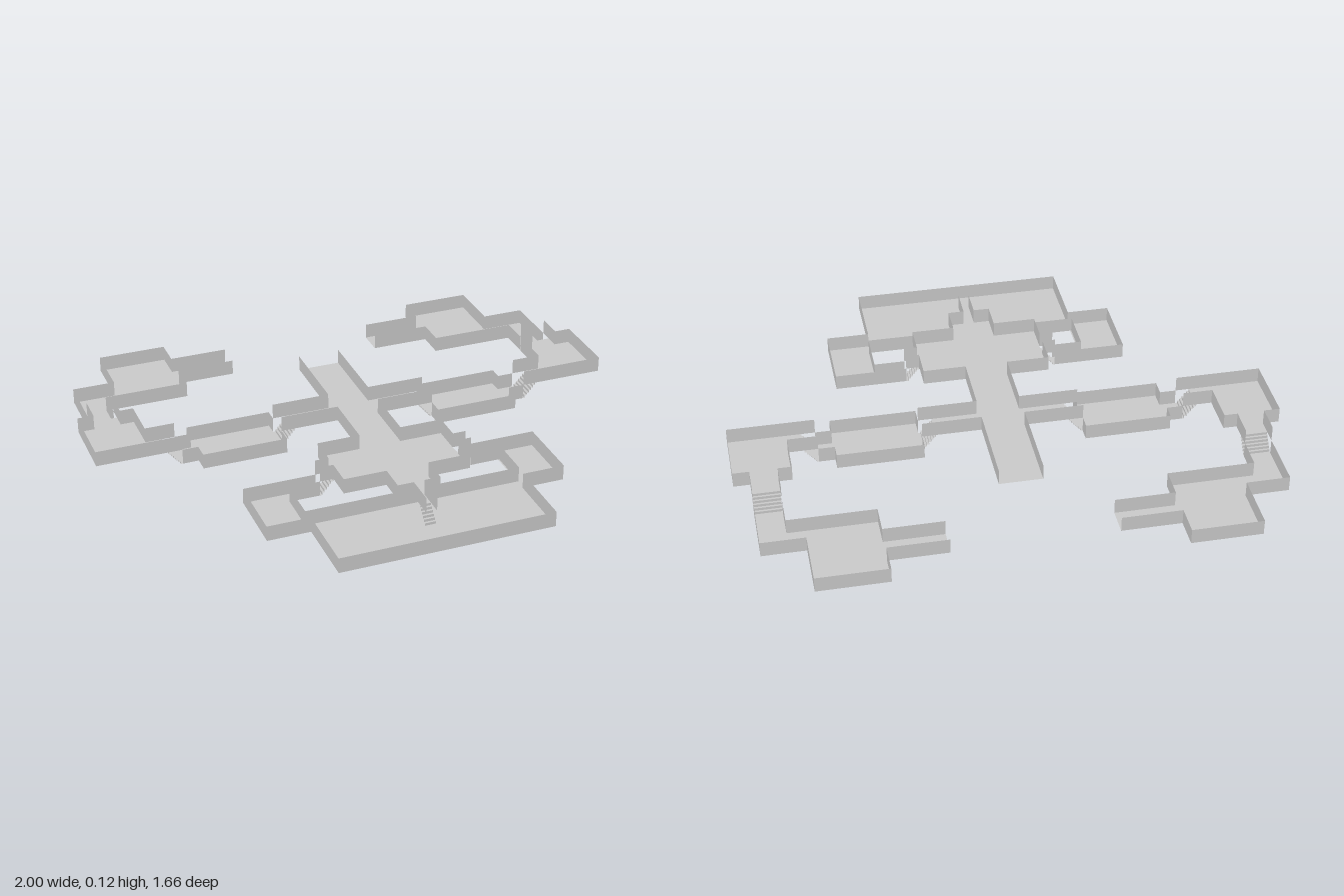
import * as THREE from 'three';
import { mergeGeometries } from 'three/addons/utils/BufferGeometryUtils.js';

const H = 0.058; // storey height, also the wall height
const STEPS = 6;
const material = new THREE.MeshStandardMaterial({ color: 0xcccccc, side: THREE.DoubleSide, flatShading: true });

// flat four-cornered face
function quad(a, b, c, d) {
  const g = new THREE.BufferGeometry();
  g.setAttribute('position', new THREE.Float32BufferAttribute([a, b, c, a, c, d].flat(), 3));
  g.computeVertexNormals();
  return g;
}

// upright walls following an open path of [x, z] points
function walls(path, y, s) {
  return path.slice(1).map(([x, z], i) => {
    const [px, pz] = path[i];
    return quad([s * px, y, pz], [s * x, y, z], [s * x, y + H, z], [s * px, y + H, pz]);
  });
}

// rectangular floor
function floor([x0, x1, z0, z1], y, s) {
  return quad([s * x0, y, z0], [s * x0, y, z1], [s * x1, y, z1], [s * x1, y, z0]);
}

// open zigzag flight from the upper edge (a-b) down in direction [dx, dz]
function stairs([ax, az, bx, bz, dx, dz], s) {
  const parts = [];
  const at = (x, z, t, y) => [s * (x + dx * t), y, z + dz * t];
  for (let i = 0; i < STEPS; i++) {
    const t0 = i / STEPS, t1 = (i + 1) / STEPS;
    const y0 = H * (1 - t0), y1 = H * (1 - t1);
    parts.push(quad(at(ax, az, t0, y0), at(bx, bz, t0, y0), at(bx, bz, t0, y1), at(ax, az, t0, y1)));
    parts.push(quad(at(ax, az, t0, y1), at(bx, bz, t0, y1), at(bx, bz, t1, y1), at(ax, az, t1, y1)));
  }
  return parts;
}

// one half (+x) of the plan; the other half is mirrored
const plan = {
  centralHall: {
    y: H,
    floors: [[0, 0.08, -0.46, 0.19], [0.08, 0.25, -0.135, -0.035], [0, 0.24, 0.19, 0.455],
      [0, 0.08, 0.455, 0.56], [0, 0.02, 0.56, 0.62]],
    walls: [
      [[0.08, -0.46], [0.08, -0.135], [0.3, -0.135]],
      [[0.3, -0.035], [0.08, -0.035], [0.08, 0.19], [0.24, 0.19], [0.24, 0.3], [0.29, 0.3]],
      [[0.29, 0.35], [0.24, 0.35], [0.24, 0.455], [0.08, 0.455], [0.08, 0.56], [0.02, 0.56], [0.02, 0.675]],
    ],
  },
  frontRoom: {
    y: 0,
    floors: [[0.29, 0.4, 0.3, 0.35], [0.4, 0.56, 0.3, 0.56], [0, 0.4, 0.515, 0.83]],
    walls: [
      [[0.29, 0.3], [0.56, 0.3], [0.56, 0.56], [0.4, 0.56], [0.4, 0.83], [0, 0.83]],
      [[0.29, 0.35], [0.405, 0.35], [0.405, 0.515], [0, 0.515]],
    ],
  },
  sideRoom: {
    y: 0,
    floors: [[0.3, 0.62, -0.185, 0.025], [0.62, 0.68, -0.135, -0.035]],
    walls: [
      [[0.3, -0.135], [0.3, -0.185], [0.62, -0.185], [0.62, -0.135], [0.68, -0.135]],
      [[0.68, -0.035], [0.62, -0.035], [0.62, 0.025], [0.3, 0.025], [0.3, -0.035]],
    ],
  },
  cornerRoom: {
    y: H,
    floors: [[0.73, 0.79, -0.135, -0.035], [0.79, 1, -0.295, -0.035], [0.84, 0.94, -0.35, -0.295]],
    walls: [
      [[0.68, -0.135], [0.79, -0.135], [0.79, -0.295], [0.84, -0.295], [0.84, -0.4]],
      [[0.94, -0.4], [0.94, -0.295], [1, -0.295], [1, -0.035], [0.68, -0.035]],
    ],
  },
  backRoom: {
    y: 0,
    floors: [[0.84, 0.94, -0.515, -0.4], [0.78, 0.94, -0.62, -0.515], [0.52, 0.78, -0.835, -0.515],
      [0.3, 0.52, -0.725, -0.625]],
    walls: [
      [[0.84, -0.4], [0.84, -0.515], [0.52, -0.515], [0.52, -0.625], [0.3, -0.625]],
      [[0.3, -0.725], [0.52, -0.725], [0.52, -0.835], [0.78, -0.835], [0.78, -0.62], [0.94, -0.62], [0.94, -0.4]],
    ],
  },
};

const flights = {
  innerStairs: [0.25, -0.135, 0.25, -0.035, 0.05, 0],
  outerStairs: [0.73, -0.135, 0.73, -0.035, -0.05, 0],
  backStairs: [0.84, -0.35, 0.94, -0.35, 0, -0.05],
  wingStairs: [0.24, 0.3, 0.24, 0.35, 0.05, 0],
  frontStairs: [0, 0.62, 0.02, 0.62, 0, 0.055],
};

export function createModel() {
  const model = new THREE.Group();
  const add = (name, parts) => {
    const mesh = new THREE.Mesh(mergeGeometries(parts), material);
    mesh.name = name;
    model.add(mesh);
  };
  for (const [s, side] of [[1, 'Left'], [-1, 'Right']]) {
    for (const [name, room] of Object.entries(plan)) {
      add(name + 'Floor' + side, room.floors.map((f) => floor(f, room.y, s)));
      add(name + 'Walls' + side, room.walls.flatMap((w) => walls(w, room.y, s)));
    }
    for (const [name, flight] of Object.entries(flights)) add(name + side, stairs(flight, s));
  }
  return model;
}
